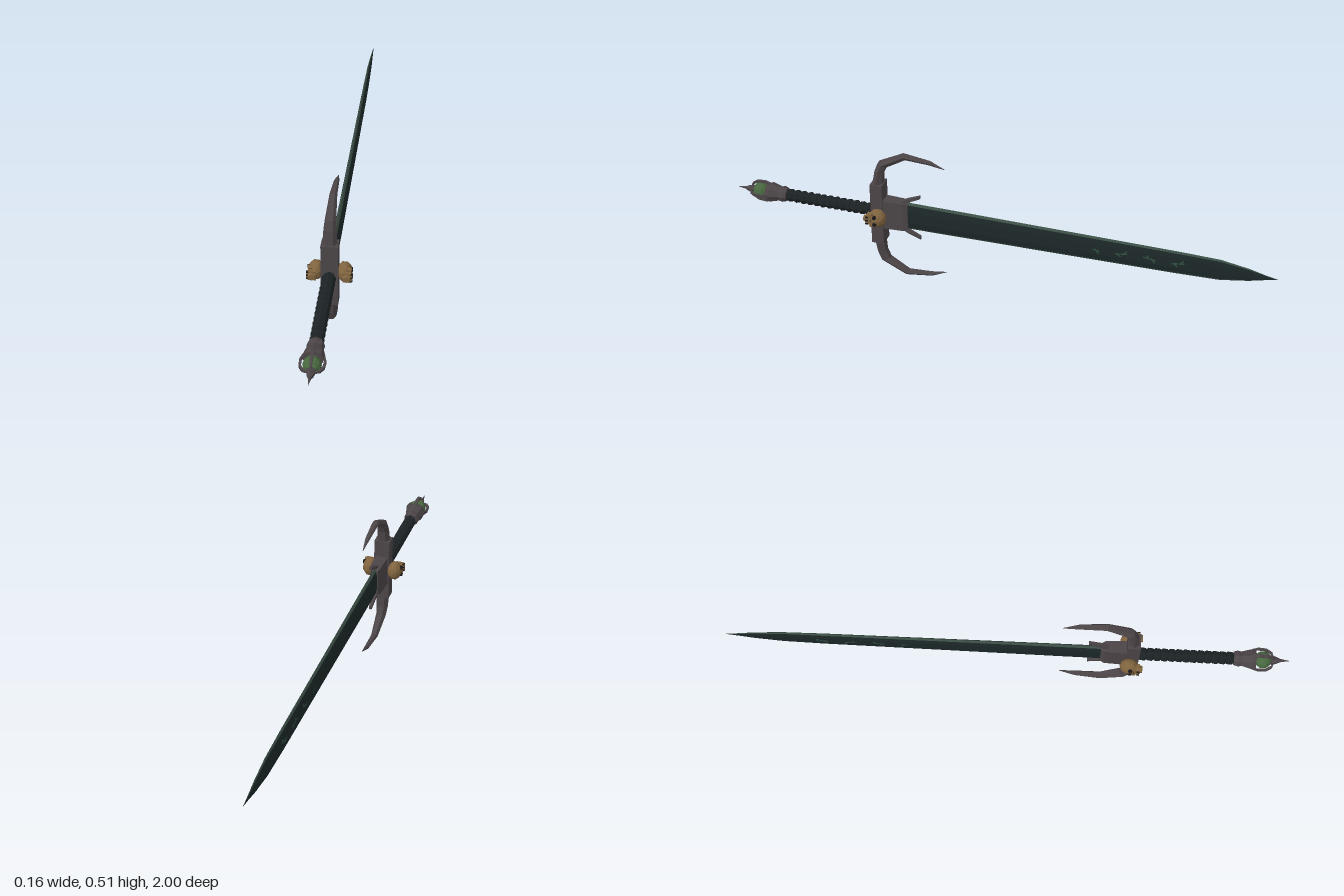
import * as THREE from 'three';

const mat = (color) => new THREE.MeshStandardMaterial({ color, flatShading: true, side: THREE.DoubleSide });
const METAL = mat(0x4c4548), BLADE = mat(0x1d2829), EDGE = mat(0x3c5046), GRIP = mat(0x1c2224);
const BONE = mat(0x80643f), GEM = mat(0x48683f), DARK = mat(0x191718), RUNE = mat(0x2f5040);

function add(parent, name, geo, material, pos = [0, 0, 0], rot = [0, 0, 0]) {
  const m = new THREE.Mesh(geo, material);
  m.name = name;
  m.position.set(...pos);
  m.rotation.set(...rot);
  parent.add(m);
  return m;
}

// Closed skin over a row of equal-length rings of [x, y, z]; turned outward by its volume.
function loft(rings) {
  const n = rings[0].length, tris = [];
  for (let i = 0; i < rings.length - 1; i++) {
    for (let j = 0; j < n; j++) {
      const k = (j + 1) % n, A = rings[i], B = rings[i + 1];
      tris.push([A[j], A[k], B[k]], [A[j], B[k], B[j]]);
    }
  }
  const first = rings[0], last = rings[rings.length - 1];
  for (let j = 1; j < n - 1; j++) {
    tris.push([first[0], first[j + 1], first[j]], [last[0], last[j], last[j + 1]]);
  }
  let vol = 0;
  const v = (p) => new THREE.Vector3(...p);
  tris.forEach(([a, b, c]) => { vol += v(a).dot(v(b).cross(v(c))); });
  if (vol < 0) tris.forEach((t) => t.reverse());
  const g = new THREE.BufferGeometry();
  g.setAttribute('position', new THREE.Float32BufferAttribute(tris.flat(2), 3));
  g.computeVertexNormals();
  return g;
}

// Turned part whose axis is z; profile holds [radius, z].
function turned(profile, sides) {
  const pts = profile.map(([r, z]) => new THREE.Vector2(r, z));
  return new THREE.LatheGeometry(pts, sides).rotateX(Math.PI / 2);
}

function buildBlade() {
  const g = new THREE.Group();
  g.name = 'blade';
  // [z, half width, half thickness]
  const stations = [[0.36, 0.056, 0.011], [0.2, 0.055, 0.011], [-0.65, 0.046, 0.008],
    [-0.8, 0.042, 0.006], [-0.9, 0.025, 0.004], [-0.96, 0.009, 0.002], [-1, 0.0006, 0.0005]];
  add(g, 'bladeCore', loft(stations.map(([z, h, t]) => {
    const f = h * 0.84;
    return [[t, f * 0.5, z], [t * 0.6, f, z], [-t * 0.6, f, z], [-t, f * 0.5, z],
      [-t, -f * 0.5, z], [-t * 0.6, -f, z], [t * 0.6, -f, z], [t, -f * 0.5, z]];
  })), BLADE);
  for (const s of [1, -1]) {
    add(g, 'cuttingEdge', loft(stations.map(([z, h, t]) =>
      [[t * 0.6, s * h * 0.82, z], [0, s * h, z], [-t * 0.6, s * h * 0.82, z]])), EDGE);
  }
  // Raised angular marks along both flats
  for (let i = 0; i < 10; i++) {
    const z = 0.245 - i * 0.1, s = i % 2 ? 1 : -1;
    const t = 0.0205 - i * 0.0004;
    const strokes = [[0, 0, 0.045, 0.15 * s], [0.006 * s, -0.012, 0.022, 0.9 * s], [-0.006 * s, 0.01, 0.02, -0.7 * s]];
    for (const [dy, dz, len, a] of strokes) {
      add(g, 'mark', new THREE.BoxGeometry(t, 0.005, len), RUNE, [0, dy, z + dz], [a, 0, 0]);
    }
  }
  return g;
}

function buildGuard() {
  const g = new THREE.Group();
  g.name = 'guard';
  add(g, 'guardBlock', new THREE.BoxGeometry(0.058, 0.245, 0.045), METAL, [0, 0, 0.4425]);
  add(g, 'bladeCollar', loft([[0.43, 0.024, 0.058], [0.345, 0.02, 0.057], [0.33, 0.014, 0.05]].map(([z, w, h]) =>
    [[w, h, z], [-w, h, z], [-w, -h, z], [w, -h, z]])), METAL);
  // Hooked arms: outer [z, y], inner [z, y], half width
  const arm = [[0.46, 0.12, 0.424, 0.12, 0.025], [0.45, 0.175, 0.42, 0.165, 0.022],
    [0.437, 0.208, 0.407, 0.194, 0.019], [0.345, 0.256, 0.335, 0.236, 0.013],
    [0.245, 0.243, 0.25, 0.23, 0.009], [0.19, 0.219, 0.191, 0.218, 0.001]];
  for (const s of [1, -1]) {
    add(g, 'hookedArm', loft(arm.map(([zo, yo, zi, yi, w]) => {
      const zm = zo * 0.55 + zi * 0.45, ym = yo * 0.55 + yi * 0.45;
      return [[w * 0.5, s * yo, zo], [w, s * ym, zm], [w * 0.5, s * yi, zi],
        [-w * 0.5, s * yi, zi], [-w, s * ym, zm], [-w * 0.5, s * yo, zo]];
    })), METAL);
    // Small prong leaning out over the blade
    add(g, 'collarProng', loft([[0.37, 0.044, 0.009], [0.335, 0.064, 0.008], [0.286, 0.086, 0.005]].map(([z, y, w]) =>
      [[w, s * (y - 0.006), z], [w, s * (y + 0.006), z], [-w, s * (y + 0.006), z], [-w, s * (y - 0.006), z]])), METAL);
  }
  return g;
}

// Small skull looking along +x, with its chin toward the grip
function buildSkull() {
  const g = new THREE.Group();
  g.name = 'skull';
  add(g, 'cranium', new THREE.IcosahedronGeometry(1, 1), BONE, [0.048, 0, 0.432]).scale.set(0.027, 0.036, 0.033);
  add(g, 'upperJaw', new THREE.BoxGeometry(0.028, 0.036, 0.03), BONE, [0.058, 0, 0.454]);
  add(g, 'chin', new THREE.CylinderGeometry(0.012, 0.018, 0.018, 6).rotateX(Math.PI / 2), BONE, [0.058, 0, 0.47]);
  add(g, 'nose', new THREE.ConeGeometry(0.005, 0.012, 3).rotateZ(-Math.PI / 2), DARK, [0.072, 0, 0.449]);
  for (const s of [1, -1]) {
    add(g, 'eyeSocket', new THREE.CylinderGeometry(0.007, 0.009, 0.01, 6).rotateZ(-Math.PI / 2), DARK, [0.071, s * 0.014, 0.436]);
    add(g, 'cheekbone', new THREE.BoxGeometry(0.016, 0.01, 0.012), BONE, [0.065, s * 0.021, 0.449], [s * 0.4, 0, 0]);
  }
  for (let i = -2; i <= 2; i++) {
    add(g, 'tooth', new THREE.BoxGeometry(0.006, 0.004, 0.01), i % 2 ? BONE : DARK, [0.074, i * 0.0065, 0.464]);
  }
  return g;
}

function buildGrip() {
  const g = new THREE.Group();
  g.name = 'grip';
  add(g, 'gripCore', turned([[0.019, 0.45], [0.02, 0.64], [0.019, 0.82]], 8), GRIP);
  // Slanted leather bands
  for (let i = 0; i < 14; i++) {
    add(g, 'wrapBand', turned([[0.019, -0.012], [0.024, -0.006], [0.024, 0.006], [0.019, 0.012]], 8), GRIP,
      [0, 0, 0.48 + i * 0.0255], [0.22, 0, 0]);
  }
  return g;
}

function buildPommel() {
  const g = new THREE.Group();
  g.name = 'pommel';
  add(g, 'pommelCup', turned([[0, 0.8], [0.025, 0.8], [0.03, 0.815], [0.027, 0.828], [0.037, 0.862], [0.034, 0.878], [0, 0.88]], 8), METAL);
  add(g, 'gem', new THREE.IcosahedronGeometry(0.031, 1), GEM, [0, 0, 0.904]);
  add(g, 'spike', turned([[0, 0.925], [0.017, 0.932], [0.013, 0.95], [0.006, 0.965], [0, 1]], 6), METAL);
  // Claws bowing over the gem: [radius, z, half width]
  const claw = [[0.033, 0.862, 0.006], [0.04, 0.885, 0.006], [0.038, 0.915, 0.005], [0.026, 0.934, 0.004], [0.01, 0.94, 0.003]];
  for (let i = 0; i < 4; i++) {
    add(g, 'claw', loft(claw.map(([r, z, w]) =>
      [[w, r - 0.004, z - 0.002], [w, r + 0.003, z + 0.002], [-w, r + 0.003, z + 0.002], [-w, r - 0.004, z - 0.002]])),
    METAL, [0, 0, 0], [0, 0, i * Math.PI / 2]);
  }
  return g;
}

export function createModel() {
  const sword = new THREE.Group();
  sword.name = 'sword';
  const right = buildSkull();
  right.rotation.z = Math.PI;
  const body = new THREE.Group();
  body.name = 'swordBody';
  body.add(buildBlade(), buildGuard(), buildSkull(), right, buildGrip(), buildPommel());
  body.position.y = 0.257;
  sword.add(body);
  return sword;
}
